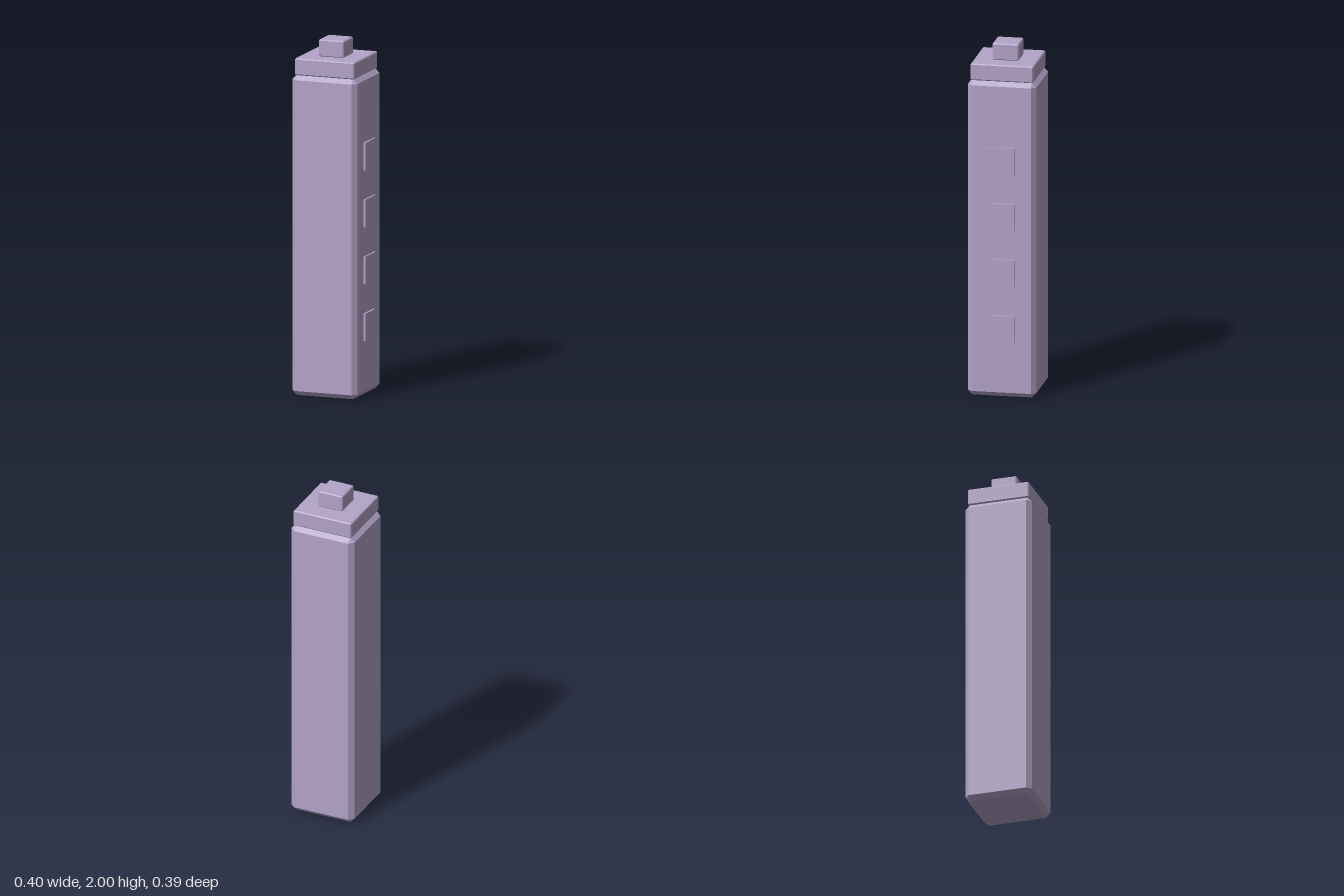
import * as THREE from 'three';
import { ConvexGeometry } from 'three/addons/geometries/ConvexGeometry.js';

// Box with every edge cut at 45 degrees by c
function chamferBox(w, h, d, c) {
  const half = [w / 2, h / 2, d / 2];
  const points = [];
  for (let axis = 0; axis < 3; axis++)
    for (const sx of [-1, 1]) for (const sy of [-1, 1]) for (const sz of [-1, 1]) {
      const p = [sx, sy, sz].map((s, i) => s * (half[i] - (i === axis ? 0 : c)));
      points.push(new THREE.Vector3(...p));
    }
  return new ConvexGeometry(points);
}

export function createModel() {
  const group = new THREE.Group();
  group.name = 'tower';
  const lilac = new THREE.MeshStandardMaterial({ color: 0xb4a5c9 });
  lilac.name = 'lilac';

  const add = (name, geometry, x, y, z) => {
    const mesh = new THREE.Mesh(geometry, lilac);
    mesh.name = name;
    mesh.position.set(x, y, z);
    group.add(mesh);
  };

  // Stacked blocks share one axis, just off centre because of the side panels
  const cx = -0.006, cz = -0.0015;
  add('body', chamferBox(0.388, 1.812, 0.388, 0.027), cx, 0.906, cz);
  add('cap', chamferBox(0.356, 0.095, 0.356, 0.006), cx, 1.8575, cz);
  add('knob', chamferBox(0.149, 0.097, 0.149, 0.006), cx, 1.9515, cz);

  // Four square panels up the left side, slightly sunk into the body
  const panel = new THREE.BoxGeometry(0.013, 0.155, 0.156);
  for (let i = 0; i < 4; i++)
    add(`sidePanel${i + 1}`, panel, 0.1925, 0.392 + i * 0.322, cz);

  return group;
}
